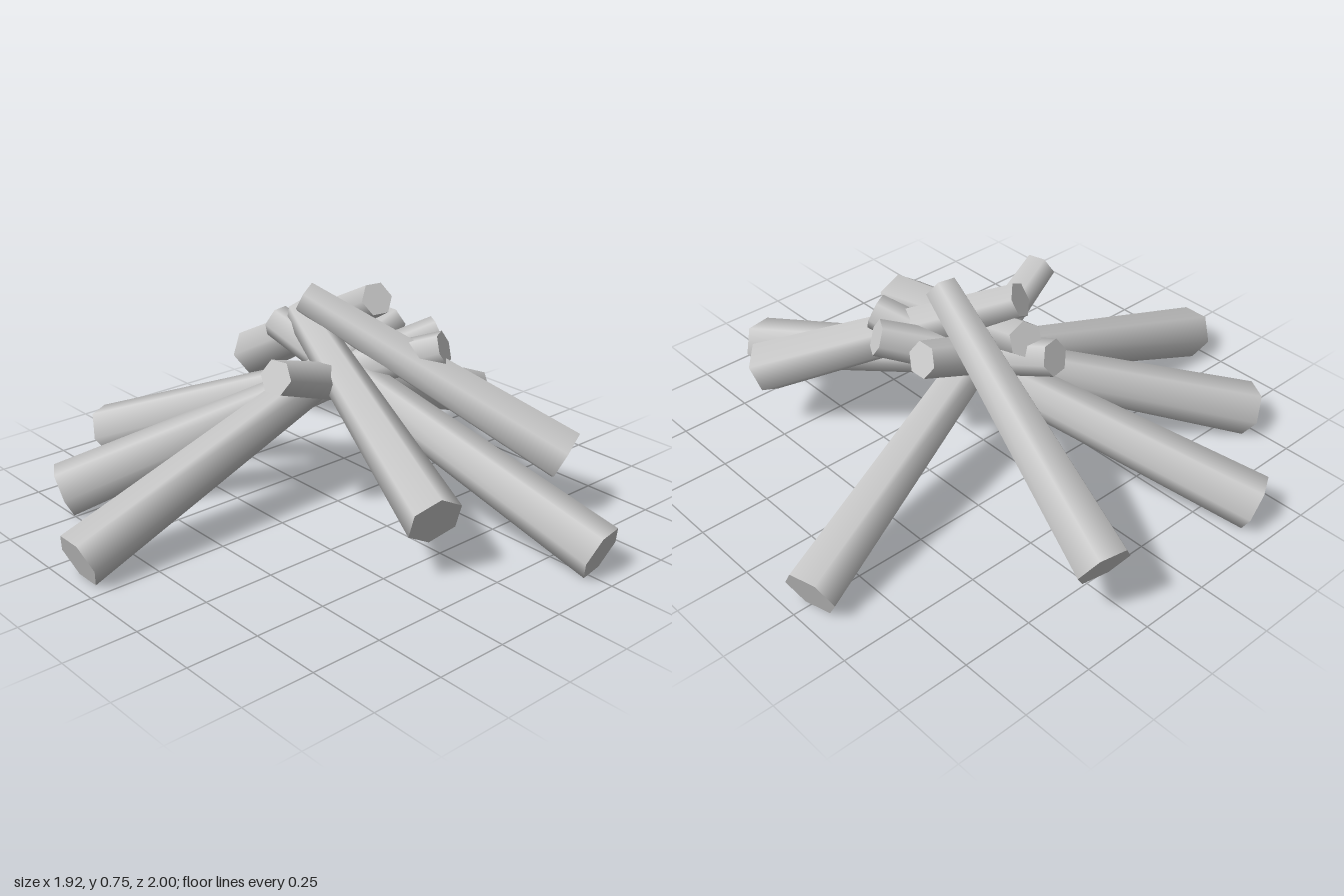
import * as THREE from 'three';

const material = new THREE.MeshStandardMaterial({ color: 0xcccccc });
const THICK = 0.095, THIN = 0.06;

// A tapered six-sided log from its thick end to its thin end.
// roll = 0 keeps a flat side underneath, roll = PI / 6 puts an edge there.
function makeLog(name, thickEnd, thinEnd, roll = 0) {
  const a = new THREE.Vector3(...thickEnd);
  const b = new THREE.Vector3(...thinEnd);
  const axis = b.clone().sub(a);
  const geometry = new THREE.CylinderGeometry(THIN, THICK, axis.length(), 6, 1, false, roll);

  // local y runs along the log, local z stays level
  axis.normalize();
  const level = new THREE.Vector3().crossVectors(axis, new THREE.Vector3(0, 1, 0)).normalize();
  const across = new THREE.Vector3().crossVectors(axis, level);
  const log = new THREE.Mesh(geometry, material);
  log.quaternion.setFromRotationMatrix(new THREE.Matrix4().makeBasis(across, axis, level));
  log.position.copy(a).add(b).multiplyScalar(0.5);
  log.name = name;
  return log;
}

export function createModel() {
  const group = new THREE.Group();
  group.name = 'logPile';

  // Long logs: thick ends on the ground, leaning inwards across each other
  const lower = [
    [[-0.28, 0.078, -0.955], [0.055, 0.56, 0.31]],
    [[0.93, 0.078, -0.275], [-0.375, 0.56, -0.04]],
    [[-0.91, 0.078, 0.36], [0.215, 0.56, -0.285]],
    [[-0.565, 0.078, 0.75], [0.09, 0.56, -0.38]],
    [[-0.105, 0.078, 0.975], [-0.105, 0.56, -0.355]],
  ];
  lower.forEach(([a, b], i) => group.add(makeLog(`lowerLog${i + 1}`, a, b)));

  // Shorter logs resting on top of the others
  const upper = [
    [[-0.895, 0.225, -0.34], [-0.005, 0.70, -0.18], 0],
    [[0.6, 0.235, -0.485], [-0.205, 0.69, -0.03], Math.PI / 6],
    [[0.635, 0.225, 0.165], [-0.29, 0.605, -0.085], Math.PI / 6],
  ];
  upper.forEach(([a, b, roll], i) => group.add(makeLog(`upperLog${i + 1}`, a, b, roll)));

  return group;
}
